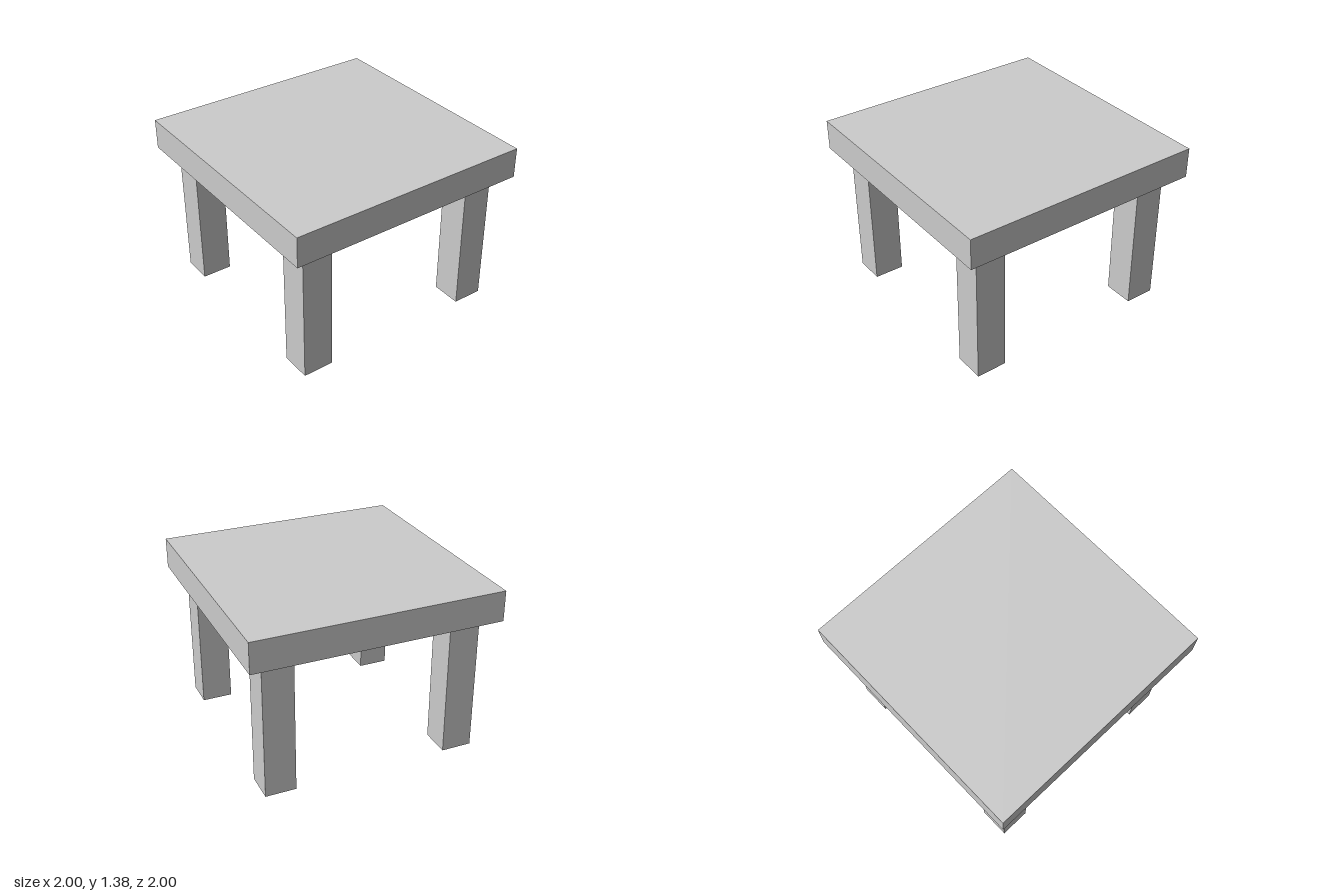
import * as THREE from 'three';

const THICK = 0.247; // slab thickness and leg width
const LEG_HEIGHT = 1.13;
const LEG_OFFSET = 0.75;

export function createModel() {
  const table = new THREE.Group();
  table.name = 'table';
  const material = new THREE.MeshStandardMaterial({ color: 0xcccccc, flatShading: true });

  // Box standing with its base at height y
  const addBox = (name, width, height, depth, x, y, z) => {
    const mesh = new THREE.Mesh(new THREE.BoxGeometry(width, height, depth), material);
    mesh.name = name;
    mesh.position.set(x, y + height / 2, z);
    table.add(mesh);
  };

  // Thick square slab
  addBox('tableTop', 2, THICK, 2, 0, LEG_HEIGHT, 0);

  // Four square legs, inset from the corners
  for (const [end, sz] of [['front', 1], ['back', -1]]) {
    for (const [side, sx] of [['Left', 1], ['Right', -1]]) {
      addBox(`${end}${side}Leg`, THICK, LEG_HEIGHT, THICK, sx * LEG_OFFSET, 0, sz * LEG_OFFSET);
    }
  }

  return table;
}
